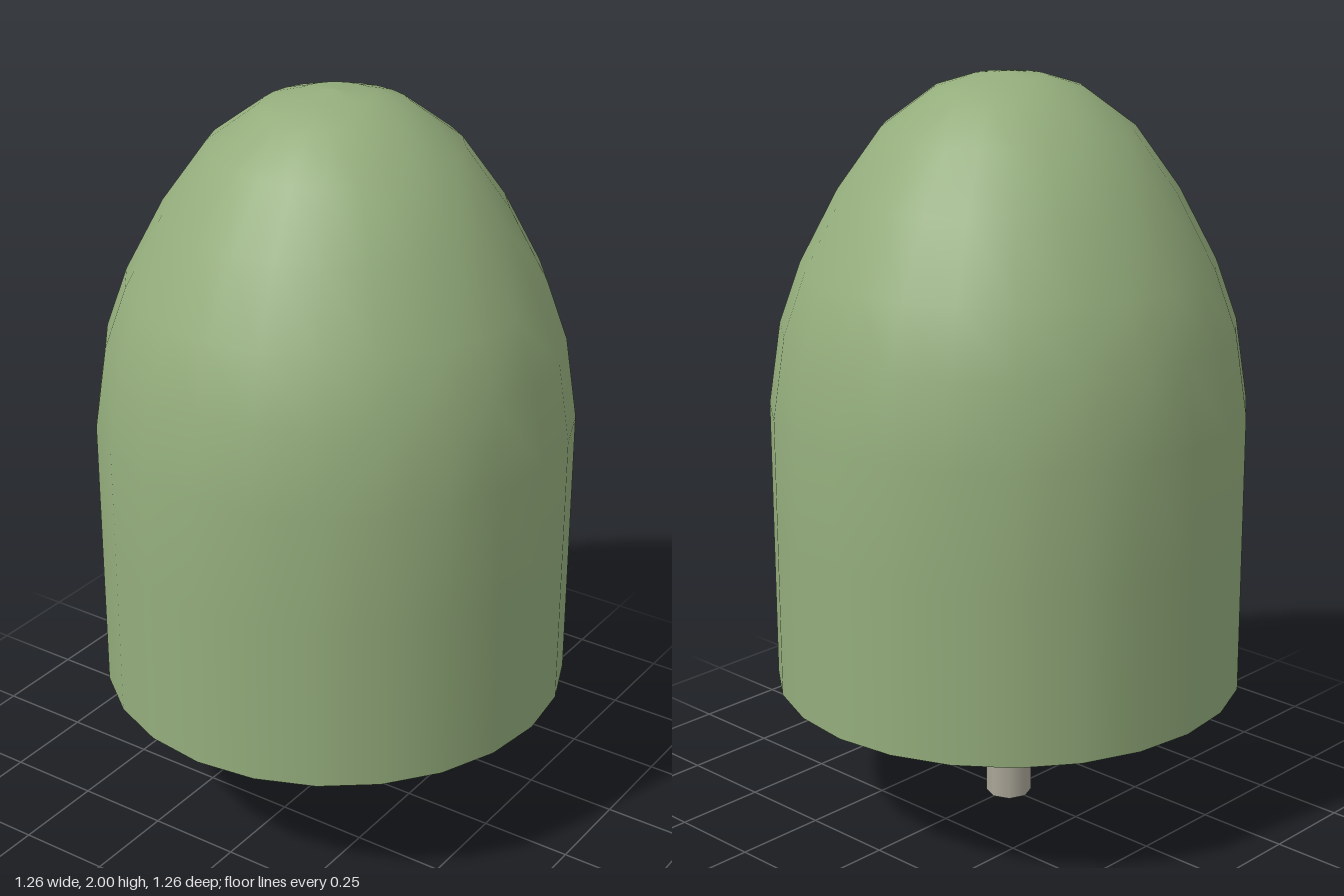
import * as THREE from 'three';

const SIDES = 24;
const RADIUS = 0.63;
const BASE_Y = 0.365;

export function createModel() {
  const model = new THREE.Group();
  model.name = 'domedBodyOnStem';

  const green = new THREE.MeshStandardMaterial({ color: 0x94ad7c });
  const stone = new THREE.MeshStandardMaterial({ color: 0xaaa698 });

  const add = (name, geometry, material, y = 0) => {
    const mesh = new THREE.Mesh(geometry, material);
    mesh.name = name;
    mesh.position.y = y;
    model.add(mesh);
  };

  // Straight-walled body that narrows into a tall rounded dome
  const profile = [
    [RADIUS, BASE_Y], [RADIUS, 0.82], [RADIUS, 1.13], [0.597, 1.35],
    [0.54, 1.51], [0.44, 1.7], [0.325, 1.86], [0.19, 1.96], [0.1, 1.988], [0, 2],
  ].map(([r, y]) => new THREE.Vector2(r, y));
  add('body', new THREE.LatheGeometry(profile, SIDES), green);

  // Flat underside closing the body
  add('underside', new THREE.CircleGeometry(RADIUS, SIDES).rotateX(Math.PI / 2), green, BASE_Y);

  // Slim stem below the body
  add('stem', new THREE.CylinderGeometry(0.062, 0.062, BASE_Y, 8), stone, BASE_Y / 2);

  return model;
}
